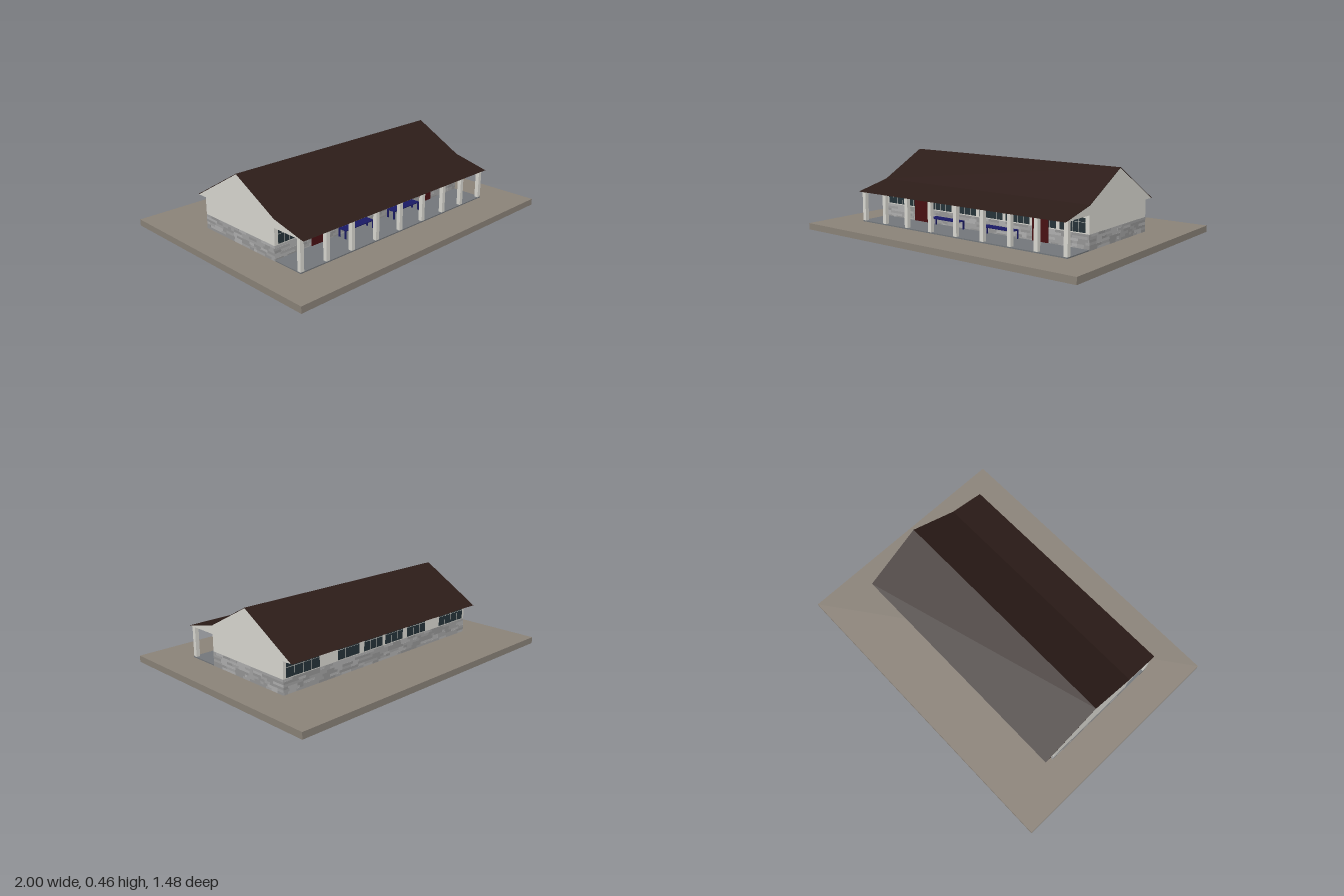
import * as THREE from 'three';
import { mergeGeometries } from 'three/addons/utils/BufferGeometryUtils.js';

const mat = (color) => new THREE.MeshStandardMaterial({ color, flatShading: true });
const M = {
  ground: mat(0x8c847a), floor: mat(0x74787c), wall: mat(0xdcdbd4), stone: mat(0xb2b2b2),
  stoneDark: mat(0x989898), stoneMid: mat(0xa5a5a5), roof: mat(0x2c1c18),
  door: mat(0x4a1013), glass: mat(0x26343a), bench: mat(0x1a1a66),
};

// Box geometry given by its min and max corners
function span(x0, x1, y0, y1, z0, z1) {
  return new THREE.BoxGeometry(x1 - x0, y1 - y0, z1 - z0)
    .translate((x0 + x1) / 2, (y0 + y1) / 2, (z0 + z1) / 2);
}

// Extrude a [z, y] profile along x, centred
function extrudeX(points, width) {
  const shape = new THREE.Shape(points.map(([z, y]) => new THREE.Vector2(z, y)));
  return new THREE.ExtrudeGeometry(shape, { depth: width, bevelEnabled: false })
    .translate(0, 0, -width / 2).rotateY(-Math.PI / 2);
}

function seeded(seed) {
  return () => (seed = (seed * 16807) % 2147483647) / 2147483647;
}

export function createModel() {
  const model = new THREE.Group();
  const add = (name, geometry, material, parent = model) => {
    const mesh = new THREE.Mesh(geometry, material);
    mesh.name = name;
    parent.add(mesh);
    return mesh;
  };

  const HALF = 0.78, FRONT = 0.28, BACK = -0.345, EAVE = 0.235, G = 0.04, FLOOR = 0.047, DADO = 0.13;

  // Ground slab and porch floor
  add('groundSlab', span(-1, 1, 0, G, -0.74, 0.74), M.ground);
  add('porchFloor', span(-HALF, HALF, G, FLOOR, FRONT, 0.487), M.floor);

  // Walls: stone below, plaster above
  add('stoneWall', span(-HALF, HALF, G, DADO, BACK, FRONT), M.stone);
  add('upperWall', span(-HALF, HALF, DADO, EAVE, BACK, FRONT), M.wall);

  // Roof: gable body with a thin covering that kinks over the porch
  const top = [[0.515, 0.235], [FRONT, 0.291], [-0.035, 0.46], [-0.42, 0.235]];
  const t = 0.003;
  const under = [[0.505, EAVE], [FRONT, 0.291 - t], [-0.035, 0.46 - t], [-0.413, EAVE]];
  add('gableBody', extrudeX(under, 2 * HALF), M.wall);
  add('roofCovering', extrudeX([...top, ...under.slice().reverse()], 2 * HALF + 0.002), M.roof);

  // Irregular darker stones on the four lower wall faces
  const rnd = seeded(77);
  const patches = [[], []];
  const rows = 6, rowH = (DADO - G) / rows, P = 0.001;
  function stones(from, to, place) {
    for (let r = 0; r < rows; r++) {
      const y = G + r * rowH;
      for (let u = from; u < to - 0.005;) {
        const end = Math.min(to, u + 0.025 + rnd() * 0.06);
        const pick = Math.floor(rnd() * 3);
        if (pick < 2) patches[pick].push(place(u, end, y, y + rowH));
        u = end;
      }
    }
  }
  stones(-HALF, HALF, (a, b, y0, y1) => span(a, b, y0, y1, FRONT - P, FRONT + P));
  stones(-HALF, HALF, (a, b, y0, y1) => span(a, b, y0, y1, BACK - P, BACK + P));
  for (const s of [-HALF, HALF]) {
    stones(BACK, FRONT, (a, b, y0, y1) => span(s - P, s + P, y0, y1, a, b));
  }
  add('darkStones', mergeGeometries(patches[0]), M.stoneDark);
  add('midStones', mergeGeometries(patches[1]), M.stoneMid);

  // Window: glass panel with light glazing bars, facing z = dir
  function window(name, x, w, y0, y1, z, dir, panes) {
    const g = new THREE.Group();
    g.name = name;
    add('glass', span(-w / 2, w / 2, y0, y1, -0.002, 0.002), M.glass, g);
    const bars = [];
    for (let i = 1; i < panes; i++) {
      const bx = -w / 2 + (w * i) / panes;
      bars.push(span(bx - 0.0012, bx + 0.0012, y0, y1, 0, 0.003));
    }
    const by = y0 + (y1 - y0) * 0.7;
    bars.push(span(-w / 2, w / 2, by - 0.001, by + 0.001, 0, 0.003));
    add('glazingBars', mergeGeometries(bars), M.wall, g);
    g.position.set(x, 0, z);
    if (dir < 0) g.rotation.y = Math.PI;
    model.add(g);
  }

  // Porch posts, with a front window in each bay between them
  const posts = [-0.767, -0.583, -0.392, -0.197, 0.003, 0.203, 0.397, 0.577, 0.767];
  posts.forEach((x, i) => {
    add('porchPost', span(x - 0.0125, x + 0.0125, FLOOR, EAVE, 0.461, 0.486), M.wall);
    if (i === 0) return;
    const a = posts[i - 1];
    window('frontWindow', (a + x) / 2, x - a - 0.024, 0.136, 0.218, FRONT, 1, 4);
  });

  // Back windows, mirrored pairs
  for (const [x, w] of [[0.64, 0.24], [0.295, 0.17], [0.09, 0.155]]) {
    for (const s of [-1, 1]) window('backWindow', s * x, w, 0.135, 0.218, BACK, -1, w > 0.2 ? 4 : 3);
  }

  // Doors and benches
  for (const s of [-1, 1]) {
    add('door', span(s * 0.462 - 0.055, s * 0.462 + 0.055, FLOOR, 0.19, FRONT - 0.005, FRONT + 0.006), M.door);

    const bench = new THREE.Group();
    bench.name = 'bench';
    bench.position.set(s * 0.205, 0, 0.325);
    add('benchTop', span(-0.115, 0.115, 0.095, 0.1, -0.03, 0.03), M.bench, bench);
    for (const lx of [-0.1125, 0.1125]) {
      for (const lz of [-0.0245, 0.0245]) {
        add('benchLeg', span(lx - 0.0025, lx + 0.0025, FLOOR, 0.095, lz - 0.0055, lz + 0.0055), M.bench, bench);
      }
    }
    model.add(bench);
  }

  return model;
}
